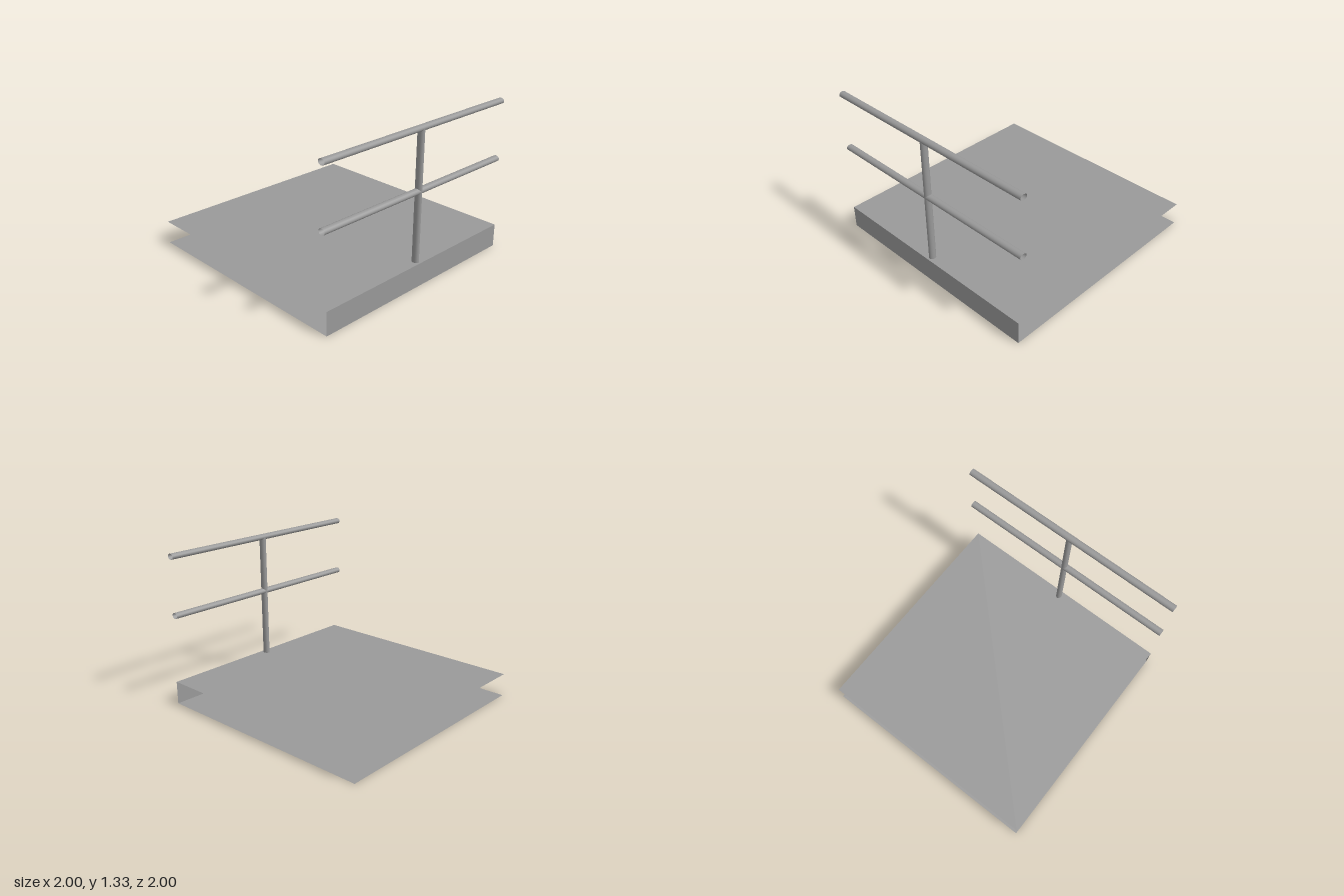
import * as THREE from 'three';

export function createModel() {
  const group = new THREE.Group();
  const grey = new THREE.MeshStandardMaterial({ color: 0x999999, side: THREE.DoubleSide });
  grey.name = 'concrete grey';

  const add = (name, geometry, x, y, z) => {
    const mesh = new THREE.Mesh(geometry, grey);
    mesh.name = name;
    mesh.position.set(x, y, z);
    group.add(mesh);
  };

  // Platform: open shell of top, bottom and one side wall
  const deck = new THREE.PlaneGeometry(2, 2);
  add('platformTop', deck.clone().rotateX(-Math.PI / 2), 0, 0.2, 0);
  add('platformBottom', deck.clone().rotateX(Math.PI / 2), 0, 0, 0);
  add('platformSide', new THREE.PlaneGeometry(2, 0.2).rotateY(Math.PI / 2), 1, 0.1, 0);

  // Railing: open tubes, slightly wider across the platform
  const railX = 0.953;
  const tube = (length) => new THREE.CylinderGeometry(0.025, 0.025, length, 16, 1, true);
  add('railingPost', tube(1.1).scale(1.25, 1, 1), railX, 0.75, 0);
  for (const [name, y] of [['middleRail', 0.8], ['topRail', 1.3]]) {
    add(name, tube(2).rotateX(Math.PI / 2).scale(1.25, 1, 1), railX, y, 0);
  }
  return group;
}
